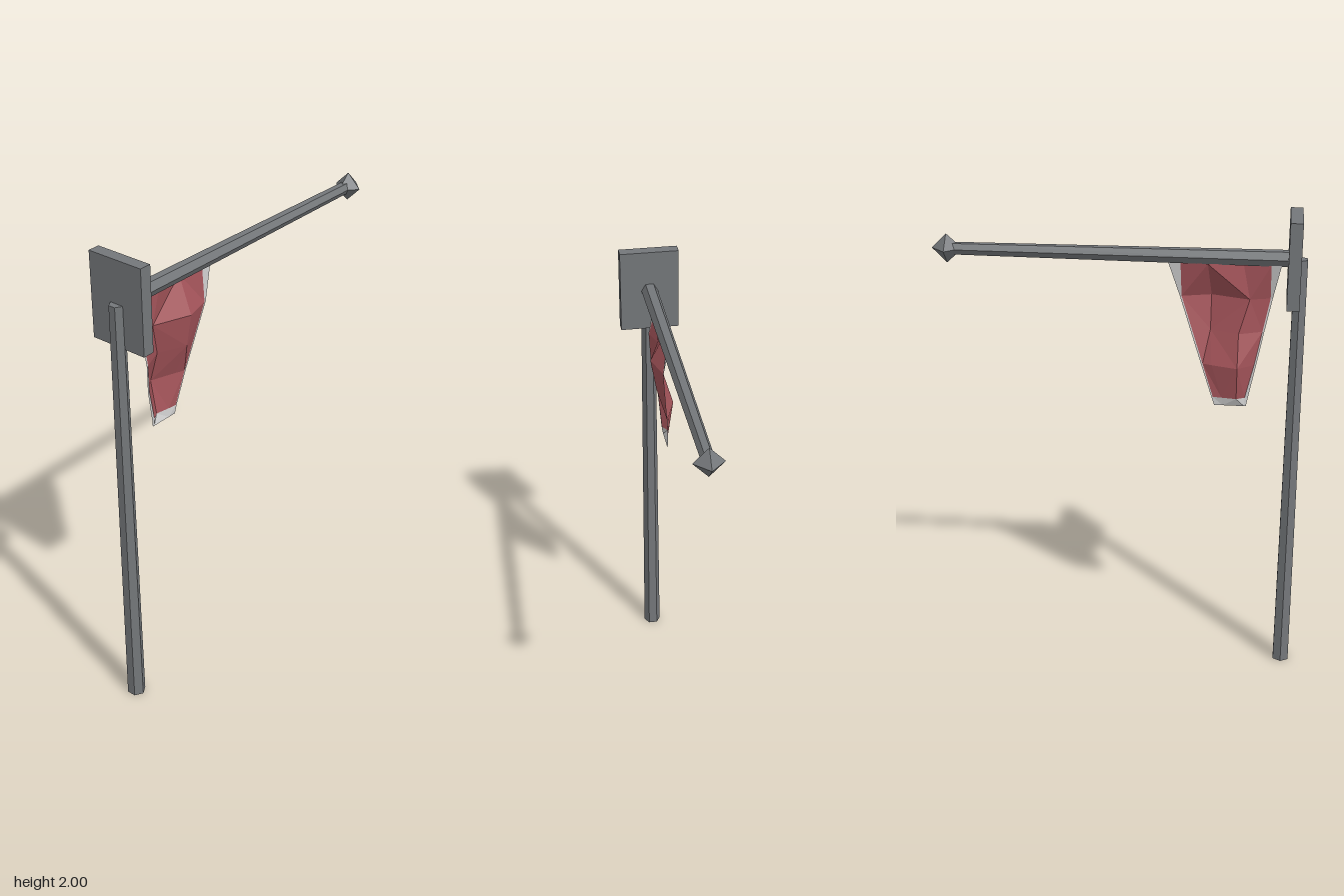
import * as THREE from 'three';

const metal = new THREE.MeshStandardMaterial({ color: 0x74777a, flatShading: true });
const red = new THREE.MeshStandardMaterial({ color: 0xa4545a, flatShading: true, side: THREE.DoubleSide });
const grey = new THREE.MeshStandardMaterial({ color: 0xcccccc, flatShading: true, side: THREE.DoubleSide });

function part(name, geometry, material, x, y, z = 0) {
  const mesh = new THREE.Mesh(geometry, material);
  mesh.name = name;
  mesh.position.set(x, y, z);
  return mesh;
}

// Faceted sheet from rows of [x, y, z] points, ordered top to bottom, left to right
function sheet(rows) {
  const pos = [];
  for (let r = 0; r < rows.length - 1; r++) {
    for (let c = 0; c < rows[r].length - 1; c++) {
      const a = rows[r][c], b = rows[r][c + 1], d = rows[r + 1][c], e = rows[r + 1][c + 1];
      const tris = (r + c) % 2 ? [a, d, b, b, d, e] : [a, d, e, a, e, b];
      tris.forEach((p) => pos.push(...p));
    }
  }
  const g = new THREE.BufferGeometry();
  g.setAttribute('position', new THREE.Float32BufferAttribute(pos, 3));
  g.computeVertexNormals();
  return g;
}

export function createModel() {
  const model = new THREE.Group();
  model.name = 'bannerPost';

  // Tapered hexagonal post and the plate at its head
  model.add(part('post', new THREE.CylinderGeometry(0.03, 0.038, 1.825, 6), metal, -0.725, 0.9125));
  model.add(part('plate', new THREE.BoxGeometry(0.05, 0.35, 0.25), metal, -0.7, 1.825));

  // Tapered hexagonal arm
  const arm = new THREE.CylinderGeometry(0.026, 0.035, 1.37, 6);
  arm.rotateZ(-Math.PI / 2);
  model.add(part('arm', arm, metal, -0.005, 1.826));

  // Four-sided spear-like finial
  const tip = new THREE.LatheGeometry([
    [0, 0], [0.024, 0], [0.06, 0.04], [0, 0.1],
  ].map(([r, h]) => new THREE.Vector2(r, h)), 4);
  tip.rotateZ(-Math.PI / 2);
  model.add(part('finial', tip, metal, 0.655, 1.826));

  // Crumpled cloth: height, then x and z across each row
  const cloth = [
    [1.80, [-0.61, -0.5, -0.36, -0.25], [-0.02, 0.0, -0.025, -0.005]],
    [1.655, [-0.612, -0.53, -0.375, -0.256], [0.015, -0.01, 0.045, 0.01]],
    [1.515, [-0.585, -0.49, -0.375, -0.303], [0.01, -0.03, 0.02, -0.005]],
    [1.38, [-0.557, -0.49, -0.385, -0.348], [-0.015, -0.07, -0.035, -0.02]],
    [1.24, [-0.524, -0.49, -0.43, -0.394], [-0.025, -0.045, -0.035, -0.03]],
  ].map(([y, xs, zs]) => xs.map((x, i) => [x, y, zs[i]]));

  // Grey hem: straight outer edges running down to a narrow bottom strip
  const outer = (row, x0, x1, col) => {
    const t = (1.8 - row[0][1]) / 0.595;
    return [x0 + (x1 - x0) * t, row[0][1], row[col][2]];
  };
  const left = cloth.map((row) => [outer(row, -0.65, -0.53, 0), row[0]]);
  const right = cloth.map((row) => [row[3], outer(row, -0.2, -0.4, 3)]);
  const last = cloth.length - 1;
  const bottom = [
    [left[last][0], ...cloth[last], right[last][1]],
    [-0.53, -0.522, -0.488, -0.435, -0.406, -0.4].map((x) => [x, 1.205, -0.03]),
  ];

  const banner = new THREE.Group();
  banner.name = 'banner';
  banner.add(part('cloth', sheet(cloth), red, 0, 0));
  banner.add(part('leftHem', sheet(left), grey, 0, 0));
  banner.add(part('rightHem', sheet(right), grey, 0, 0));
  banner.add(part('bottomHem', sheet(bottom), grey, 0, 0));
  model.add(banner);

  return model;
}
